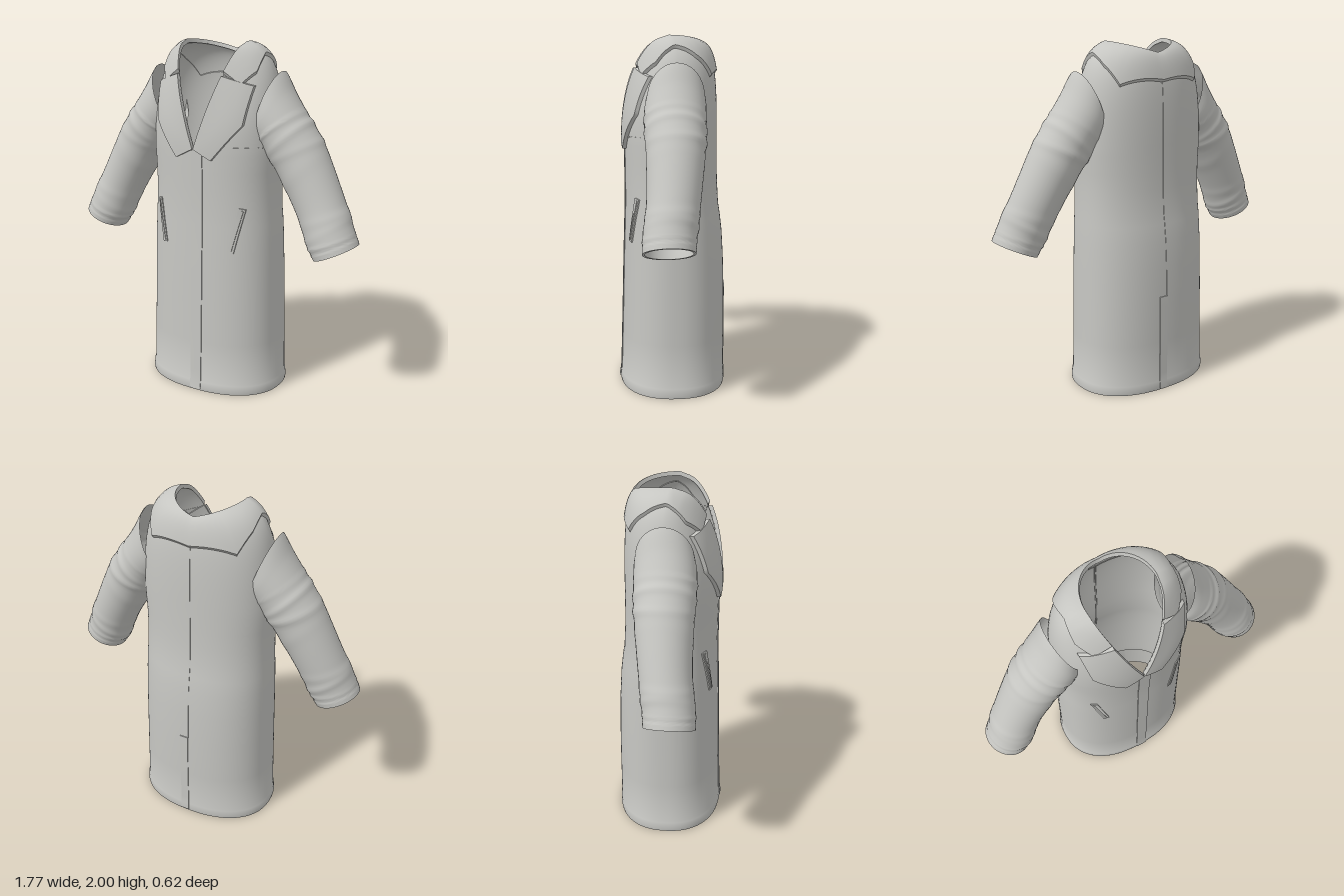
import * as THREE from 'three';
import { toCreasedNormals } from 'three/addons/utils/BufferGeometryUtils.js';

const V = (x, y, z) => new THREE.Vector3(x, y, z);
const lerp = THREE.MathUtils.lerp;
const bump = (x, w) => Math.exp(-(x * x) / (w * w));

// Skin a grid of points given as rows of equal length
function loft(rows, flip, crease = 0.7) {
  const n = rows[0].length, index = [];
  for (let r = 0; r < rows.length - 1; r++) for (let c = 0; c < n - 1; c++) {
    const a = r * n + c, b = a + 1, d = a + n, e = d + 1;
    if (flip) index.push(a, d, b, b, d, e); else index.push(a, b, d, b, e, d);
  }
  const geo = new THREE.BufferGeometry().setFromPoints(rows.flat());
  geo.setIndex(index);
  return toCreasedNormals(geo, crease);
}

// Point on a polyline, t from 0 to 1
function along(points, t) {
  const k = Math.min(t * (points.length - 1), points.length - 1.0001), i = Math.floor(k);
  return points[i].clone().lerp(points[i + 1], k - i);
}

// Depth of the V opening at distance x from the centre
const openingZ = x => 0.03 + 0.24 * Math.sqrt(Math.max(0, 1 - (x / 0.19) ** 2));

// Neck edge: a V in front, a shallow curve behind (a = 0 front, PI back)
function neckPoint(a) {
  const s = a > Math.PI ? -1 : 1, h = a > Math.PI ? 2 * Math.PI - a : a;
  if (h <= Math.PI / 2) {
    const u = h / (Math.PI / 2);
    return V(s * 0.19 * u, 1.43 + 0.55 * u, openingZ(0.19 * u));
  }
  return V(s * 0.19 * Math.sin(h), 1.98 - 0.055 * (1 - Math.sin(h)), 0.03 + 0.22 * Math.cos(h));
}

// Rounded oval ring of the torso
function ringPoint(a, y, w, front, back) {
  const p = v => Math.sign(v) * Math.abs(v) ** 0.87;
  const c = Math.cos(a);
  return V(w * p(Math.sin(a)), y, (c > 0 ? front : back) * p(c));
}

function bodyGeometry() {
  // y, half width, front depth, back depth; starts inside the hem
  const rings = [[0.3, 0.385, 0.275, 0.285], [0.012, 0.4, 0.29, 0.295], [0, 0.415, 0.305, 0.305],
    [0.015, 0.417, 0.308, 0.308], [0.055, 0.413, 0.304, 0.306], [0.065, 0.408, 0.299, 0.303],
    [0.3, 0.402, 0.292, 0.304], [0.55, 0.396, 0.285, 0.303], [0.75, 0.392, 0.28, 0.297],
    [0.9, 0.388, 0.275, 0.288], [1.0, 0.384, 0.272, 0.276], [1.06, 0.38, 0.27, 0.266],
    [1.2, 0.376, 0.27, 0.258], [1.3, 0.378, 0.271, 0.256], [1.4, 0.385, 0.272, 0.255]];
  const angles = Array.from({ length: 97 }, (_, i) => i / 96 * Math.PI * 2);
  const rows = rings.map(r => angles.map(a => ringPoint(a, ...r)));
  // Chest and shoulders sweep from the last ring to the neck edge
  const curves = angles.map(a => {
    const c = ringPoint(a, ...rings[rings.length - 1]), n = neckPoint(a);
    return new THREE.CubicBezierCurve3(c, V(c.x, lerp(c.y, n.y, 0.55), c.z),
      V(lerp(n.x, c.x, 0.85), n.y - 0.03 * Math.min(1, (n.y - 1.4) * 3), lerp(n.z, c.z, 0.92)), n);
  });
  for (let k = 1; k <= 18; k++) rows.push(curves.map(c => c.getPoint(k / 18)));
  return loft(rows);
}

function sleeveGeometry(side) {
  // centre x, y, z, tilt in degrees, half height, half depth
  const st = [[0.33, 1.66, 0, 70, 0.2, 0.155], [0.36, 1.61, 0.005, 55, 0.167, 0.165],
    [0.42, 1.53, 0.01, 40, 0.15, 0.165], [0.515, 1.395, 0.015, 31, 0.15, 0.155],
    [0.65, 1.15, 0.035, 29, 0.138, 0.14], [0.73, 0.98, 0.06, 27, 0.136, 0.138],
    [0.768, 0.905, 0.066, 25, 0.128, 0.133]];
  const centre = new THREE.CatmullRomCurve3(st.map(s => V(s[0], s[1], s[2])));
  const shape = new THREE.CatmullRomCurve3(st.map(s => V(s[3] / 100, s[4], s[5])));
  // Cloth folds: position, strength, slant
  const folds = [[0.3, 0.03, 0.02], [0.4, 0.05, -0.02], [0.47, 0.045, 0.015],
    [0.55, 0.02, -0.02], [0.73, 0.03, 0.015], [0.79, 0.045, -0.015], [0.87, 0.035, 0.012]];
  const ring = (t, scale) => {
    const c = centre.getPoint(t), s = shape.getPoint(t), tilt = s.x * 100 * Math.PI / 180;
    return Array.from({ length: 41 }, (_, i) => {
      const q = i / 40 * Math.PI * 2;
      let k = scale;
      for (const [f, h, slant] of folds)
        k += h * bump(t - f - slant * Math.cos(q), 0.02) * (0.65 + 0.35 * Math.sin(q + f * 20));
      if (t > 0.93) k += 0.02;
      const n = Math.cos(q) * s.y * k;
      return V(side * (c.x + Math.cos(tilt) * n), c.y + Math.sin(tilt) * n, c.z + Math.sin(q) * s.z * k);
    });
  };
  const rows = Array.from({ length: 81 }, (_, i) => ring(i / 80, 1));
  rows.push(ring(1, 0.9), ring(0.92, 0.9), ring(0.8, 0.88)); // turned-in cuff
  return loft(rows, side < 0);
}

export function createModel() {
  const group = new THREE.Group();
  const cloth = new THREE.MeshStandardMaterial({ color: 0xc6c6c2, side: THREE.DoubleSide });
  cloth.name = 'light grey cloth';
  const add = (name, geo) => {
    const mesh = new THREE.Mesh(geo, cloth);
    mesh.name = name;
    group.add(mesh);
    return mesh;
  };
  const base = [add('coatBody', bodyGeometry()), add('leftSleeve', sleeveGeometry(1)),
    add('rightSleeve', sleeveGeometry(-1))];
  const ray = new THREE.Raycaster();

  // Lay a layer of cloth on the coat: at(u, v) gives rough points, dirOf the outward direction
  function layer(name, at, dirOf, lift, nu, nv, flip) {
    const rows = [];
    for (let j = -1; j <= nv + 1; j++) {
      const row = [];
      for (let i = -1; i <= nu + 1; i++) {
        const rim = i < 0 || j < 0 || i > nu || j > nv;
        const q = at(THREE.MathUtils.clamp(i / nu, 0, 1), THREE.MathUtils.clamp(j / nv, 0, 1));
        const d = dirOf(q);
        ray.set(q.clone().add(d), d.clone().negate());
        const hit = ray.intersectObjects(base)[0];
        const p = hit && hit.distance < 1.2 ? hit.point.clone() : q;
        row.push(p.addScaledVector(d, rim ? -0.004 : lift));
      }
      rows.push(row);
    }
    add(name, loft(rows, flip, 0.6));
  }
  const forward = () => V(0, 0, 1), backward = () => V(0, 0, -1);

  // Flat strip between two points, seen from the front or back
  function strip(name, x0, y0, x1, y1, width, lift, back, n = 24) {
    const l = Math.hypot(x1 - x0, y1 - y0), px = (y1 - y0) / l * width, py = -(x1 - x0) / l * width;
    layer(name, (u, v) => V(lerp(x0, x1, v) + px * (u - 0.5), lerp(y0, y1, v) + py * (u - 0.5),
      back ? -0.25 : 0.25), back ? backward : forward, lift, 2, n, back);
  }

  for (const s of [1, -1]) {
    const side = s > 0 ? 'left' : 'right';
    // Lapel
    const inner = [V(0.002, 1.43), V(0.138, 1.825)];
    const outer = [V(0.11, 1.375), V(0.27, 1.57), V(0.298, 1.775)];
    layer(side + 'Lapel', (u, v) => {
      const p = along(inner, v).lerp(along(outer, v), u);
      return V(s * p.x, p.y, openingZ(Math.min(p.x, 0.12)));
    }, forward, 0.022, 10, 16, s < 0);
    // Slanted pocket welts
    strip(side + 'PocketWelt', s * 0.27, 1.11, s * 0.215, 0.86, 0.034, 0.007, false, 10);
    strip(side + 'PocketFold', s * 0.272, 1.1, s * 0.217, 0.87, 0.01, 0.011, false, 10);
  }

  // Collar: half stations of neck angle and outer edge, mirrored round the back
  const half = [[66, 0.24, 1.79, 0.19], [80, 0.3, 1.86, 0.11], [95, 0.292, 1.94, 0],
    [118, 0.295, 1.89, -0.11], [142, 0.255, 1.8, -0.21], [180, 0, 1.8, -0.252]];
  const neckAngles = [...half.map(h => h[0]), ...half.slice(0, 5).reverse().map(h => 360 - h[0])];
  const edge = [...half.map(h => V(h[1], h[2], h[3])),
    ...half.slice(0, 5).reverse().map(h => V(-h[1], h[2], h[3]))];
  const angleLine = neckAngles.map(a => V(a, 0, 0));
  layer('collar', (u, v) => neckPoint(along(angleLine, u).x * Math.PI / 180).lerp(along(edge, u), 1 - v),
    q => q.clone().sub(V(q.x * 0.5, 1.5, 0)).normalize(), 0.02, 60, 8);

  // Front closing edge, chest seam, back seam and vent
  strip('frontPlacket', 0.015, 0.01, 0.015, 1.42, 0.07, 0.005, false);
  strip('chestSeam', 0.04, 1.445, 0.35, 1.445, 0.008, 0.003, false);
  strip('backSeam', 0, 0.58, 0, 1.8, 0.008, 0.003, true);
  strip('backVent', 0.025, 0.01, 0.025, 0.58, 0.05, 0.005, true);
  return group;
}
